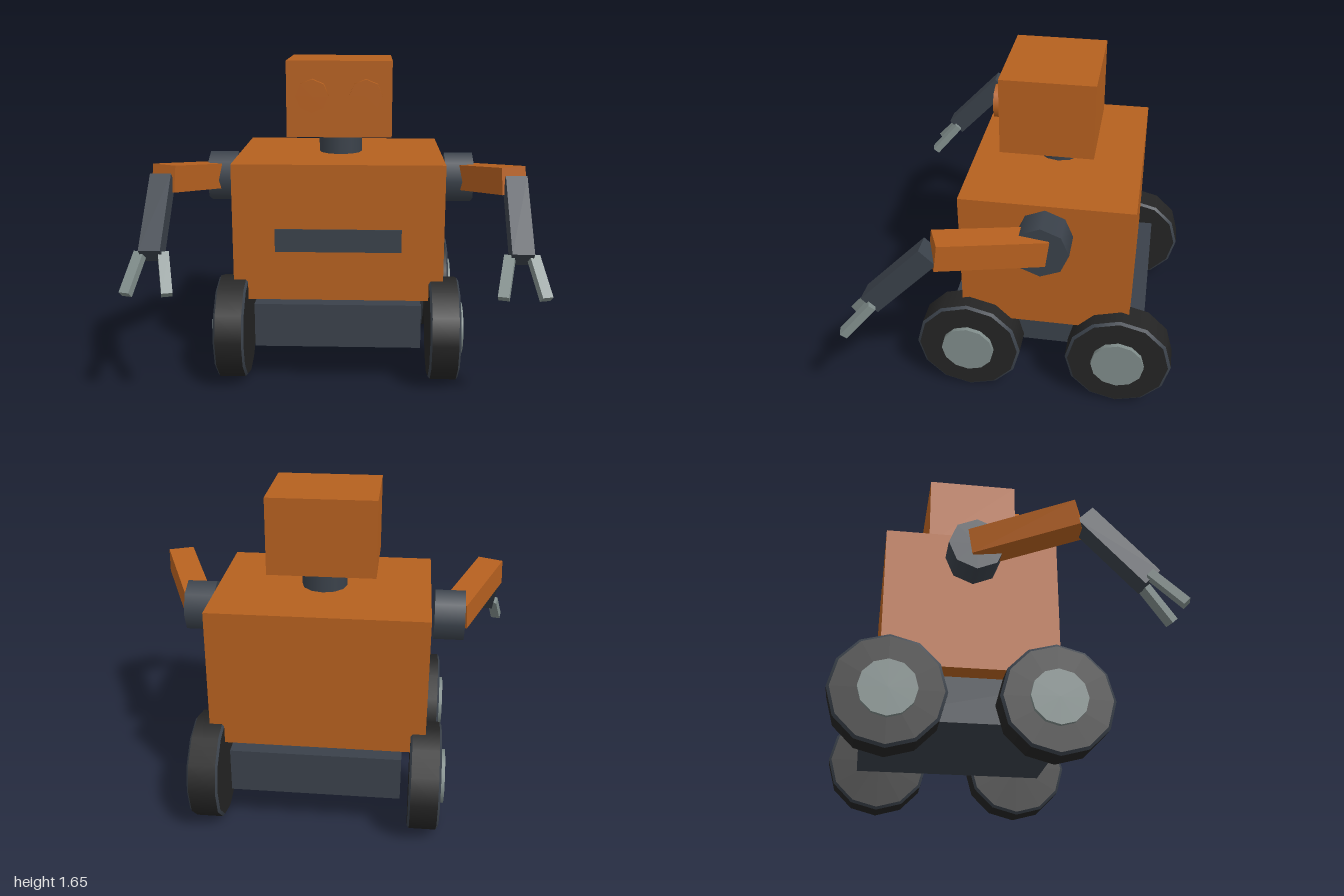
import * as THREE from 'three';

export function createModel() {
  const root = new THREE.Group();
  root.name = 'robot';

  const mat = (name, color) => {
    const m = new THREE.MeshStandardMaterial({ color });
    m.name = name;
    return m;
  };
  const orange = mat('orange', 0xb5601f);
  const slate = mat('slate', 0x3a414a);
  const black = mat('rubber black', 0x242424);
  const grey = mat('metal grey', 0x7f8c8a);

  const add = (parent, name, geometry, material, x = 0, y = 0, z = 0) => {
    const mesh = new THREE.Mesh(geometry, material);
    mesh.name = name;
    mesh.position.set(x, y, z);
    parent.add(mesh);
    return mesh;
  };
  const box = (w, h, d) => new THREE.BoxGeometry(w, h, d);

  // Box limb running between two points
  const limb = (parent, name, material, from, to, w, h) => {
    const a = new THREE.Vector3(...from), b = new THREE.Vector3(...to);
    const mid = a.clone().add(b).multiplyScalar(0.5);
    const mesh = add(parent, name, box(w, h, a.distanceTo(b)), material, mid.x, mid.y, mid.z);
    mesh.lookAt(b);
    return mesh;
  };

  // Trunk
  add(root, 'chassis', box(0.855, 0.23, 1.005), slate, 0, 0.315, -0.13);
  add(root, 'body', box(1.085, 0.715, 0.855), orange, 0, 0.7875, -0.13);
  add(root, 'chestSlot', box(0.65, 0.12, 0.008), slate, 0, 0.75, 0.3);
  add(root, 'neck', new THREE.CylinderGeometry(0.116, 0.116, 0.13, 12), slate, 0, 1.203, -0.13);

  // Head and eyes
  add(root, 'head', box(0.542, 0.39, 0.465), orange, 0, 1.455, -0.093);
  const eyeGeo = new THREE.CylinderGeometry(0.085, 0.085, 0.05, 8).rotateX(Math.PI / 2);
  for (const s of [-1, 1]) add(root, 'eye', eyeGeo, orange, s * 0.137, 1.475, 0.153);

  // Arms
  const shoulderGeo = new THREE.CylinderGeometry(0.136, 0.136, 0.153, 8).rotateZ(Math.PI / 2);
  for (const s of [-1, 1]) {
    const arm = new THREE.Group();
    arm.name = s > 0 ? 'leftArm' : 'rightArm';
    root.add(arm);
    add(arm, 'shoulder', shoulderGeo, slate, s * 0.64, 1.001, -0.13);
    limb(arm, 'upperArm', orange, [s * 0.667, 1.005, -0.138], [s * 0.875, 1.08, 0.335], 0.137, 0.135);
    limb(arm, 'forearm', slate, [s * 0.878, 1.077, 0.345], [s * 0.878, 0.765, 0.645], 0.105, 0.105);
    for (const f of [-1, 1]) {
      limb(arm, 'finger', grey, [s * (0.878 + f * 0.055), 0.775, 0.63],
        [s * (0.878 + f * 0.098), 0.615, 0.773], 0.052, 0.04);
    }
  }

  // Wheels: tread and side walls in rubber, with bevelled slate shoulders
  const outer = 0.272, wall = 0.258, half = 0.0775, tread = 0.067;
  const treadGeo = new THREE.CylinderGeometry(outer, outer, tread * 2, 12, 1, true).rotateZ(Math.PI / 2);
  const bevelGeo = new THREE.CylinderGeometry(wall, outer, half - tread, 12, 1, true).rotateZ(-Math.PI / 2);
  const wallGeo = new THREE.CircleGeometry(wall, 12).rotateY(Math.PI / 2).rotateX(Math.PI / 2);
  const hubGeo = new THREE.CylinderGeometry(0.136, 0.136, 0.04, 12).rotateZ(Math.PI / 2);
  for (const s of [-1, 1]) {
    for (const z of [0.262, -0.517]) {
      const wheel = new THREE.Group();
      wheel.name = z > 0 ? 'frontWheel' : 'rearWheel';
      wheel.position.set(s * 0.546, outer + 0.002, z);
      root.add(wheel);
      add(wheel, 'tread', treadGeo, black);
      for (const side of [-1, 1]) {
        const face = new THREE.Group();
        face.name = 'tyreSide';
        if (side < 0) face.rotation.y = Math.PI;
        wheel.add(face);
        add(face, 'bevel', bevelGeo, slate, (half + tread) / 2);
        add(face, 'sideWall', wallGeo, black, half);
      }
      add(wheel, 'hub', hubGeo, grey, s * 0.08);
    }
  }
  return root;
}
